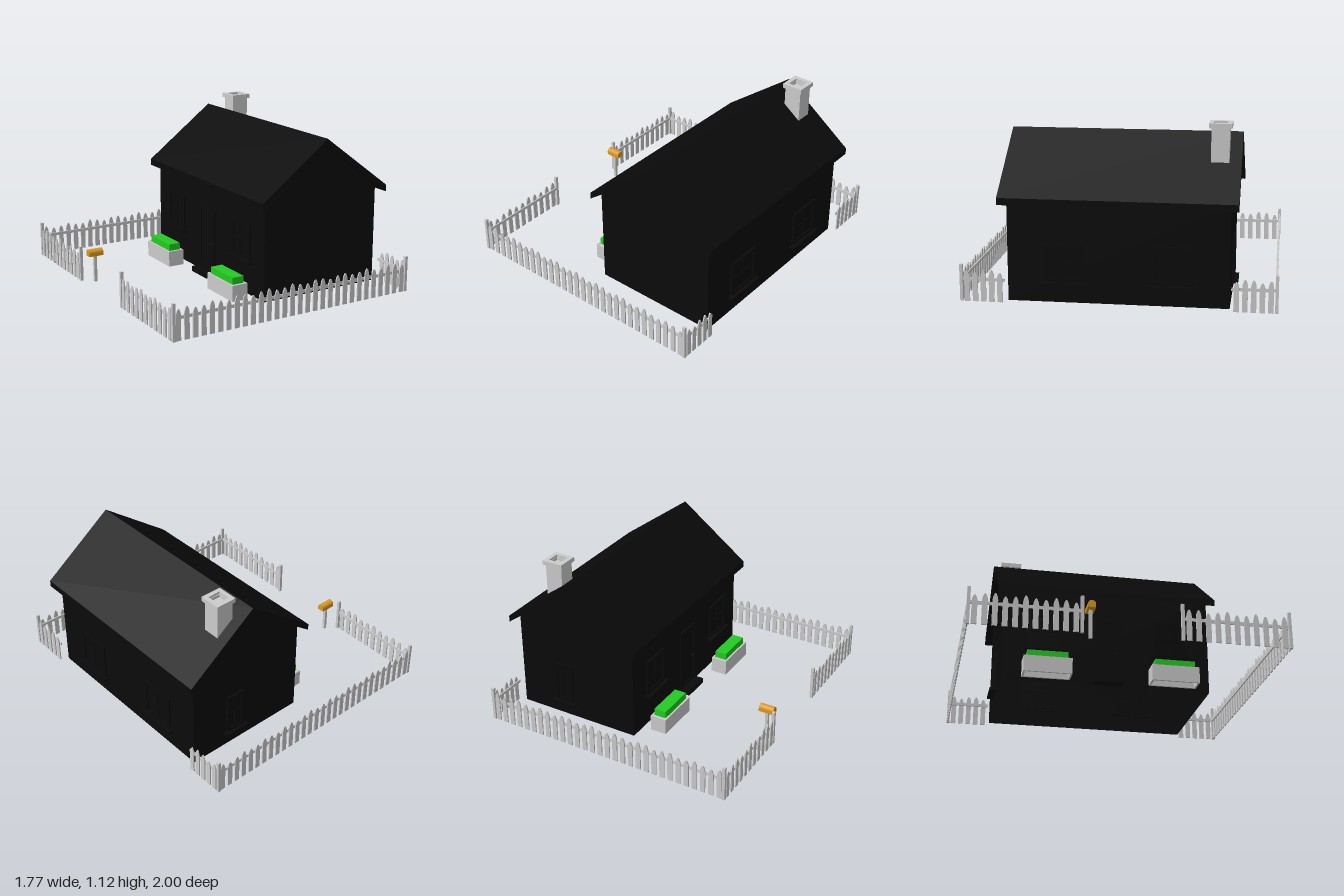
import * as THREE from 'three';

const mat = (color) => new THREE.MeshStandardMaterial({ color, side: THREE.DoubleSide });
const grey = mat(0xcccccc), black = mat(0x0a0a0a), green = mat(0x22cc22), orange = mat(0xdd9a22);

function add(parent, name, geo, m, x = 0, y = 0, z = 0) {
  const mesh = new THREE.Mesh(geo, m);
  mesh.name = name;
  mesh.position.set(x, y, z);
  parent.add(mesh);
  return mesh;
}

// box given by its minimum and maximum corners
function box(parent, name, m, [x0, y0, z0], [x1, y1, z1]) {
  return add(parent, name, new THREE.BoxGeometry(x1 - x0, y1 - y0, z1 - z0), m,
    (x0 + x1) / 2, (y0 + y1) / 2, (z0 + z1) / 2);
}

const poly = (pts) => new THREE.Shape(pts.map(([x, y]) => new THREE.Vector2(x, y)));
const rect = (w, h) => [[-w / 2, -h / 2], [w / 2, -h / 2], [w / 2, h / 2], [-w / 2, h / 2]];

// rectangular ring with rim t, extruded along z
function ring(w, h, t, depth) {
  const s = poly(rect(w, h));
  s.holes.push(poly(rect(w - 2 * t, h - 2 * t)));
  return new THREE.ExtrudeGeometry(s, { depth, bevelEnabled: false });
}
// the same ring standing upright along y
const tube = (w, d, t, height) => ring(w, d, t, height).rotateX(-Math.PI / 2);

// window facing +z, origin at the centre of its wall opening
function makeWindow(name, w, h) {
  const g = new THREE.Group();
  g.name = name;
  add(g, 'windowFrame', ring(w, h, 0.02, 0.03), black, 0, 0, -0.015);
  add(g, 'windowPane', new THREE.BoxGeometry(w - 0.04, h - 0.04, 0.008), black);
  add(g, 'windowBarUpright', new THREE.BoxGeometry(0.01, h - 0.04, 0.02), black);
  add(g, 'windowBarAcross', new THREE.BoxGeometry(w - 0.04, 0.01, 0.02), black);
  add(g, 'windowSill', new THREE.BoxGeometry(w + 0.04, 0.02, 0.05), black, 0, -h / 2 - 0.01, 0.015);
  return g;
}

function makeHouse() {
  const house = new THREE.Group();
  house.name = 'house';
  const L = -0.05, R = 0.83, mid = 0.39, Z = 0.7, eave = 0.667, peak = 0.995;

  // walls, open at the bottom
  const gable = new THREE.ShapeGeometry(poly([[L, 0], [R, 0], [R, eave], [mid, peak], [L, eave]]));
  add(house, 'frontWall', gable, black, 0, 0, Z);
  add(house, 'backWall', gable.clone().rotateY(Math.PI), black, 2 * mid, 0, -Z);
  for (const [name, x, turn] of [['leftWall', R, 1], ['rightWall', L, -1]])
    add(house, name, new THREE.PlaneGeometry(2 * Z, eave).rotateY(turn * Math.PI / 2), black, x, eave / 2, 0);

  // gabled roof
  const chevron = poly([[-0.1, 0.63], [mid, peak], [0.885, 0.63], [0.885, 0.675], [mid, 1.042], [-0.1, 0.675]]);
  add(house, 'roof', new THREE.ExtrudeGeometry(chevron, { depth: 1.5, bevelEnabled: false }), black, 0, 0, -0.75);

  // windows
  for (const s of [-1, 1]) {
    const a = makeWindow('leftWindow', 0.25, 0.25);
    a.position.set(R, 0.26, s * 0.345);
    a.rotation.y = Math.PI / 2;
    const b = makeWindow('rightWindow', 0.22, 0.25);
    b.position.set(L, 0.36, s * 0.43);
    b.rotation.y = -Math.PI / 2;
    house.add(a, b);
  }
  const back = makeWindow('backWindow', 0.14, 0.28);
  back.position.set(0.49, 0.25, -Z);
  back.rotation.y = Math.PI;
  house.add(back);

  // door with step
  add(house, 'doorFrame', ring(0.2, 0.44, 0.02, 0.03).rotateY(-Math.PI / 2), black, L + 0.015, 0.255, 0);
  box(house, 'door', black, [L - 0.008, 0.035, -0.08], [L + 0.008, 0.455, 0.08]);
  add(house, 'doorKnob', new THREE.SphereGeometry(0.008, 10, 8), black, L - 0.016, 0.23, 0.06);
  box(house, 'doorStep', black, [-0.13, 0, -0.1], [L, 0.035, 0.1]);

  // hollow chimney
  add(house, 'chimneyShaft', tube(0.12, 0.115, 0.02, 0.25), grey, 0.55, 0.86, -0.615);
  add(house, 'chimneyCap', tube(0.145, 0.145, 0.03, 0.03), grey, 0.55, 1.095, -0.615);
  box(house, 'chimneyFlue', grey, [0.505, 1.08, -0.66], [0.595, 1.09, -0.57]);
  return house;
}

// picket with a rounded point
function picketGeometry() {
  const w = 0.017, s = new THREE.Shape();
  s.moveTo(-w, 0);
  s.lineTo(w, 0);
  s.lineTo(w, 0.165);
  s.quadraticCurveTo(w * 0.8, 0.195, 0.003, 0.208);
  s.lineTo(-0.003, 0.208);
  s.quadraticCurveTo(-w * 0.8, 0.195, -w, 0.165);
  return new THREE.ExtrudeGeometry(s, { depth: 0.008, bevelEnabled: false, curveSegments: 4 });
}

function makeFence() {
  const fence = new THREE.Group();
  fence.name = 'fence';
  const picket = picketGeometry();
  const X0 = -0.878, X1 = 0.875, Z = 0.986;
  // runs of fence: start and end on the ground plane
  const runs = [
    [X0, Z, X1, Z], [X1, -Z, X0, -Z],
    [X0, -Z, X0, -0.315], [X0, 0.315, X0, Z],
    [X1, Z, X1, 0.71], [X1, -0.71, X1, -Z],
  ];
  runs.forEach(([x0, z0, x1, z1], r) => {
    const len = Math.hypot(x1 - x0, z1 - z0);
    const run = new THREE.Group();
    run.name = 'fenceRun';
    run.position.set(x0, 0, z0);
    run.rotation.y = Math.atan2(z0 - z1, x1 - x0);
    add(run, 'rail', new THREE.BoxGeometry(len, 0.02, 0.008), grey, len / 2, 0.143, -0.003);
    const n = Math.round((len - 0.06) / 0.0584);
    for (let i = 0; i <= n; i++) {
      const p = add(run, 'picket', picket, grey, 0.032 + (len - 0.064) * i / n, 0, 0.001);
      p.scale.y = 0.96 + 0.05 * Math.sin(i * 1.9 + r * 2.3);
    }
    fence.add(run);
  });
  // tall posts at the corners and gateway
  for (const s of [-1, 1])
    for (const [x, z] of [[X0, Z], [X1, Z], [X0, 0.31]])
      add(fence, 'post', new THREE.BoxGeometry(0.02, 0.24, 0.02), grey, x, 0.12, s * z * (z > 0.9 ? 1.004 : 1));
  return fence;
}

function makePlanter(z) {
  const g = new THREE.Group();
  g.name = 'planter';
  add(g, 'planterBox', tube(0.115, 0.32, 0.012, 0.11), grey);
  add(g, 'planterLid', new THREE.BoxGeometry(0.1, 0.008, 0.3), grey, 0, 0.103, 0);
  add(g, 'hedge', new THREE.BoxGeometry(0.085, 0.048, 0.27), green, 0, 0.131, 0);
  g.position.set(-0.165, 0, z);
  return g;
}

function makeMailbox() {
  const g = new THREE.Group();
  g.name = 'mailbox';
  // arched body lying along x
  const s = new THREE.Shape();
  s.moveTo(-0.025, 0);
  s.lineTo(0.025, 0);
  s.lineTo(0.025, 0.022);
  s.absarc(0, 0.022, 0.025, 0, Math.PI, false);
  const body = new THREE.ExtrudeGeometry(s, { depth: 0.104, bevelEnabled: false, curveSegments: 6 });
  add(g, 'mailboxBody', body.rotateY(Math.PI / 2), orange, -0.052, 0.185, 0);
  add(g, 'mailboxPost', new THREE.BoxGeometry(0.02, 0.186, 0.02), grey, 0, 0.093, 0);
  g.position.set(-0.803, 0, -0.247);
  return g;
}

export function createModel() {
  const model = new THREE.Group();
  model.name = 'cottageWithFence';
  model.add(makeHouse(), makeFence(), makePlanter(0.43), makePlanter(-0.42), makeMailbox());
  return model;
}
